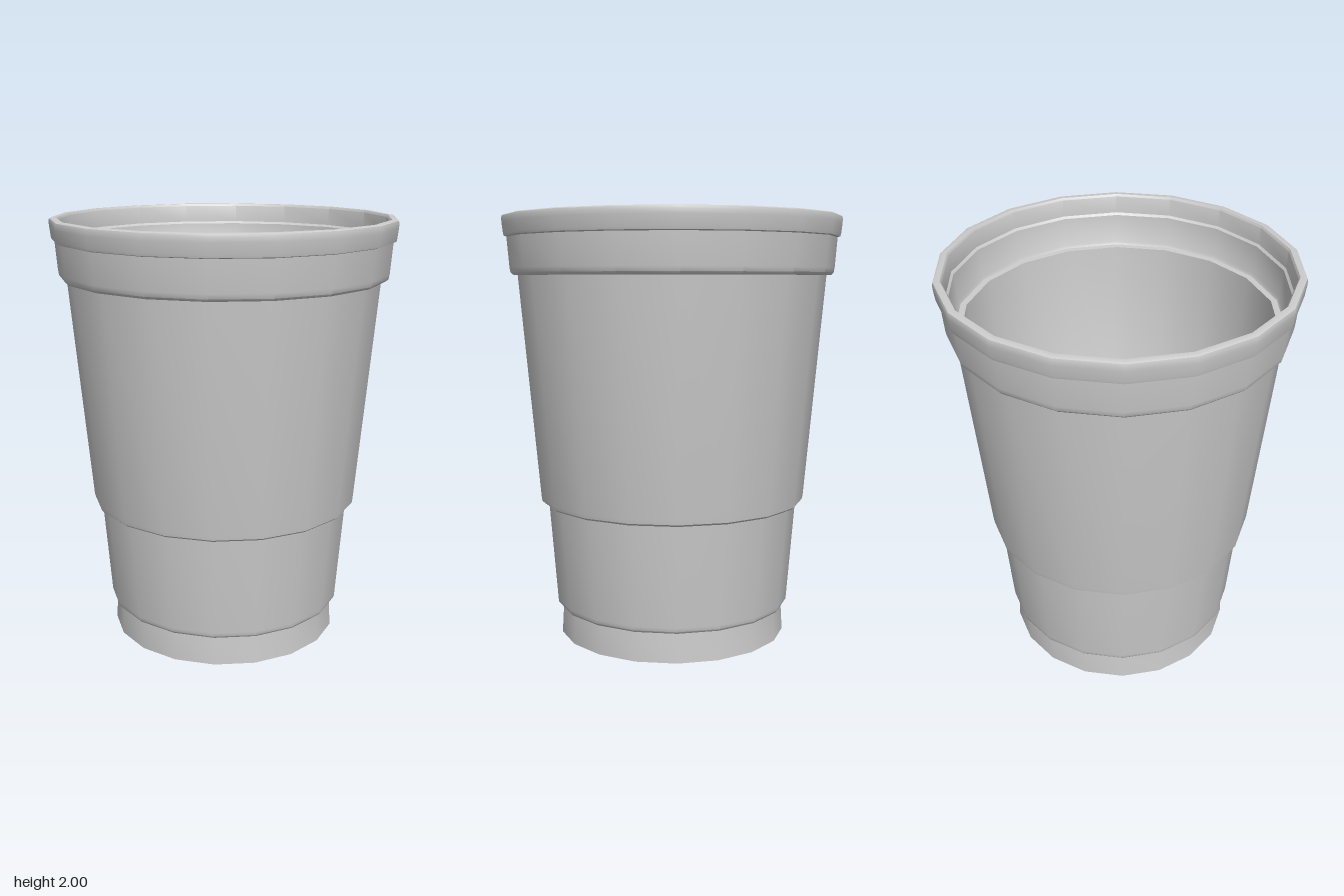
import * as THREE from 'three';
import { toCreasedNormals } from 'three/addons/utils/BufferGeometryUtils.js';

const SIDES = 18;

// Spin a [radius, height] profile into an 18-sided shell, first corner on +x
function spin(name, profile, material) {
  const points = profile.map(([r, y]) => new THREE.Vector2(r, y));
  const lathe = new THREE.LatheGeometry(points, SIDES, Math.PI / 2);
  const mesh = new THREE.Mesh(toCreasedNormals(lathe, THREE.MathUtils.degToRad(35)), material);
  mesh.name = name;
  return mesh;
}

export function createModel() {
  const group = new THREE.Group();
  group.name = 'cup';
  const material = new THREE.MeshStandardMaterial({ color: 0xcccccc });

  // Underside, foot and the two stepped wall sections, going up
  group.add(spin('outerWall', [
    [0, 0], [0.547, 0], [0.539, 0.14],
    [0.555, 0.142], [0.563, 0.152], [0.565, 0.17],
    [0.602, 0.645], [0.625, 0.647], [0.635, 0.656], [0.638, 0.675],
    [0.73, 1.725],
  ], material));

  // Grip band and rolled rim, from the outside over the top to the inside
  group.add(spin('rim', [
    [0.73, 1.725], [0.752, 1.727], [0.763, 1.738], [0.767, 1.76],
    [0.778, 1.9], [0.79, 1.904], [0.793, 1.915],
    [0.799, 1.965], [0.8, 1.985], [0.797, 1.996], [0.789, 2],
    [0.767, 2], [0.76, 1.99], [0.756, 1.91], [0.746, 1.9],
    [0.735, 1.765], [0.728, 1.752], [0.7, 1.75],
  ], material));

  // Inner wall with matching ledges, going down to the floor
  group.add(spin('innerWall', [
    [0.7, 1.75], [0.628, 0.69], [0.621, 0.675], [0.597, 0.67],
    [0.593, 0.66], [0.538, 0.175], [0.532, 0.163], [0.518, 0.16],
    [0.515, 0.03], [0, 0.03],
  ], material));

  return group;
}
